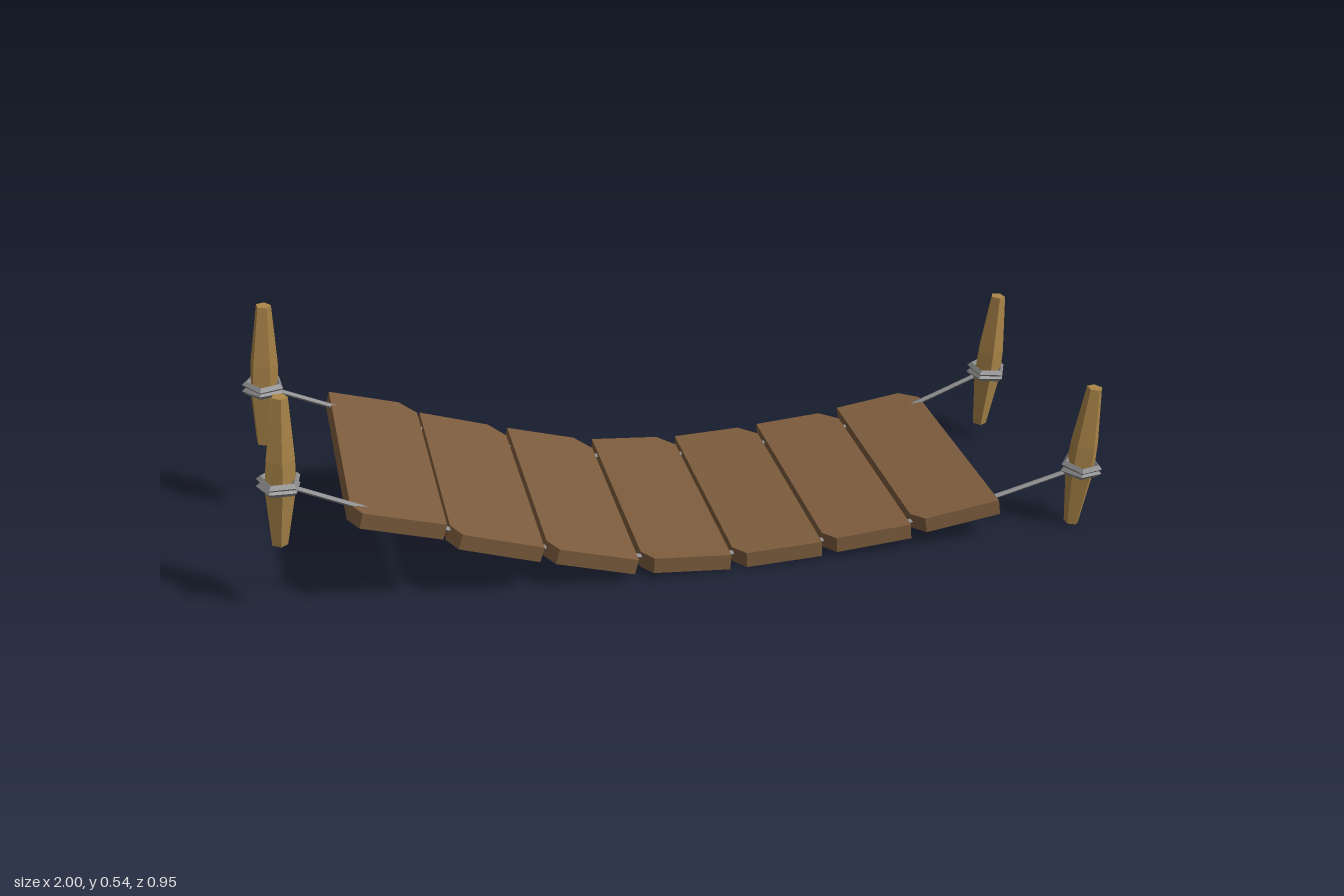
import * as THREE from 'three';

const YAW = 0.2; // heading of the bridge
const plankMat = new THREE.MeshStandardMaterial({ color: 0x7d5c3d, flatShading: true });
const postMat = new THREE.MeshStandardMaterial({ color: 0xa98448, flatShading: true });
const ropeMat = new THREE.MeshStandardMaterial({ color: 0x88888a, flatShading: true });

// u runs along the bridge, v across it
const place = (u, v, y) => new THREE.Vector3(
  u * Math.cos(YAW) + v * Math.sin(YAW), y, -u * Math.sin(YAW) + v * Math.cos(YAW));

function mesh(name, geometry, material) {
  const m = new THREE.Mesh(geometry, material);
  m.name = name;
  return m;
}

// Board with two opposite corners cut off, top face at y = 0
function plankGeometry(w, l, t) {
  const s = new THREE.Shape([
    [-w, -l + 0.035], [-w + 0.025, -l], [w, -l],
    [w, l - 0.045], [w - 0.04, l], [-w, l],
  ].map(([x, y]) => new THREE.Vector2(x, y)));
  return new THREE.ExtrudeGeometry(s, { depth: t, bevelEnabled: false })
    .rotateX(-Math.PI / 2).translate(0, -t, 0);
}

// Rough five-sided stake tapering to both ends, tied with two rope rings at its origin
function createPost(name, turn) {
  const post = new THREE.Group();
  post.name = name;
  const profile = [[0, -0.146], [0.018, -0.146], [0.035, -0.01], [0.033, 0.06], [0.018, 0.205], [0, 0.205]];
  const stake = new THREE.LatheGeometry(profile.map(([r, y]) => new THREE.Vector2(r, y)), 5);
  stake.rotateY(turn);
  post.add(mesh('stake', stake, postMat));
  for (const side of [-1, 1]) {
    const ring = mesh('ropeRing', new THREE.TorusGeometry(0.041, 0.009, 4, 5).rotateX(Math.PI / 2), ropeMat);
    ring.position.y = side * 0.008;
    ring.rotation.set(0.03 * side, turn + Math.PI / 2, 0.04 * side);
    post.add(ring);
  }
  return post;
}

export function createModel() {
  const model = new THREE.Group();
  model.name = 'ropeBridge';

  // Planks: top height and slope along the sagging span
  const planks = [
    [0.238, -0.27], [0.157, -0.3], [0.095, -0.27], [0.06, -0.07],
    [0.055, 0.04], [0.069, 0.08], [0.098, 0.15],
  ];
  const plankU = i => -0.672 + i * 0.2133;
  const heading = 0.185;
  const roll = -0.027;
  planks.forEach(([y, slope], i) => {
    const along = new THREE.Vector3(Math.cos(heading), slope, -Math.sin(heading)).normalize();
    const across = new THREE.Vector3(Math.sin(heading), roll, Math.cos(heading));
    const up = across.clone().cross(along).normalize();
    across.crossVectors(along, up);
    const halfWidth = 0.1015 * Math.hypot(1, slope);
    const plank = mesh('plank' + (i + 1), plankGeometry(halfWidth, 0.305, 0.037), plankMat);
    plank.quaternion.setFromRotationMatrix(new THREE.Matrix4().makeBasis(along, up, across));
    plank.position.copy(place(plankU(i), -0.025, y));
    model.add(plank);
  });

  // Posts at the four corners, all leaning slightly
  const posts = {
    frontRightPost: [-0.858, 0.325, 0.42, 0.3],
    backRightPost: [-0.954, 0.335, -0.07, 0.6],
    backLeftPost: [0.813, 0.187, -0.428, 0.1],
    frontLeftPost: [0.952, 0.15, 0.058, 0.5],
  };
  for (const [name, [x, y, z, turn]] of Object.entries(posts)) {
    const post = createPost(name, turn);
    post.position.set(x, y, z);
    post.rotation.set(0.02, 0, -0.075, 'ZXY');
    model.add(post);
  }

  // Ropes run from post to post through the planks
  const ropes = [
    ['frontRope', 0.242, 'frontRightPost', 'frontLeftPost'],
    ['backRope', -0.263, 'backRightPost', 'backLeftPost'],
  ];
  for (const [name, v, from, to] of ropes) {
    const points = planks.map(([y], i) => place(plankU(i), v, y - 0.018 + (v + 0.025) * roll));
    points.unshift(new THREE.Vector3(...posts[from].slice(0, 3)));
    points.push(new THREE.Vector3(...posts[to].slice(0, 3)));
    const curve = new THREE.CatmullRomCurve3(points);
    model.add(mesh(name, new THREE.TubeGeometry(curve, 48, 0.006, 5), ropeMat));
  }
  return model;
}
